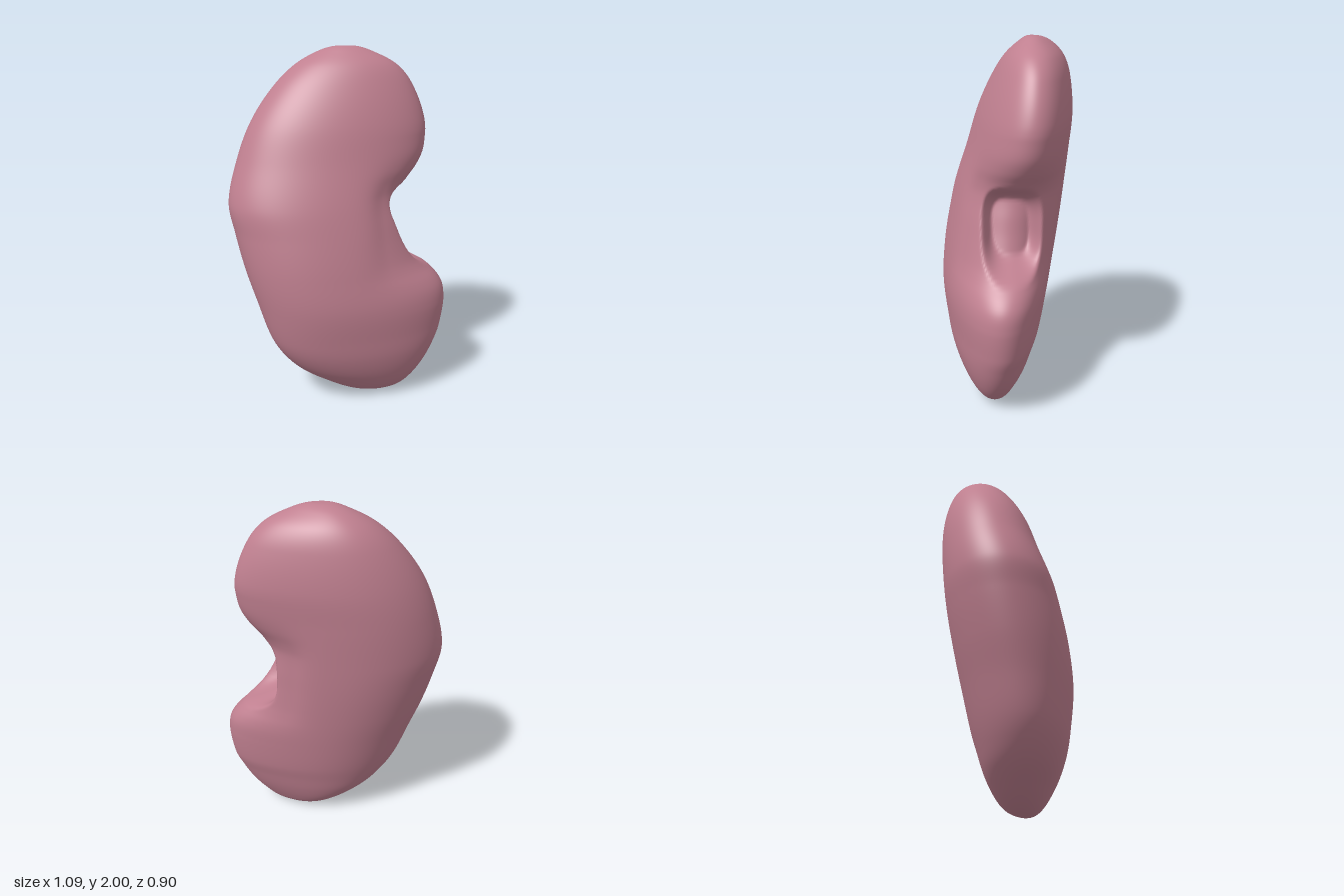
import * as THREE from 'three';

const { smoothstep } = THREE.MathUtils;

// Silhouette limits by height: y, xMin, xMax, zMin, zMax
const LIMITS = [
  [0, 0.12, 0.16, 0.16, 0.2],
  [0.025, 0.0, 0.28, 0.05, 0.29],
  [0.1, -0.14, 0.36, -0.05, 0.355],
  [0.2, -0.28, 0.43, -0.13, 0.4],
  [0.3, -0.365, 0.48, -0.18, 0.427],
  [0.4, -0.415, 0.52, -0.22, 0.44],
  [0.6, -0.465, 0.545, -0.285, 0.45],
  [0.8, -0.505, 0.535, -0.35, 0.415],
  [1.0, -0.53, 0.52, -0.405, 0.375],
  [1.17, -0.543, 0.51, -0.438, 0.335],
  [1.4, -0.47, 0.505, -0.443, 0.285],
  [1.6, -0.38, 0.515, -0.42, 0.25],
  [1.8, -0.23, 0.455, -0.36, 0.18],
  [1.9, -0.12, 0.38, -0.3, 0.12],
  [1.97, 0.0, 0.26, -0.21, 0.03],
  [2, 0.1, 0.15, -0.09, -0.06],
];

// Share of the inner half kept at each height, least at the notch
const WAIST = [
  [0.56, 1], [0.66, 0.985], [0.72, 0.94], [0.78, 0.86], [0.84, 0.8], [0.95, 0.75],
  [1.05, 0.725], [1.2, 0.7], [1.27, 0.76], [1.35, 0.89], [1.43, 0.975], [1.54, 1],
];

// Smooth interpolation through rows whose first entry is the parameter
function sample(rows, p, col) {
  const n = rows.length;
  if (p <= rows[0][0]) return rows[0][col];
  if (p >= rows[n - 1][0]) return rows[n - 1][col];
  let k = 0;
  while (p > rows[k + 1][0]) k++;
  const slope = (i) => {
    const a = rows[Math.max(i - 1, 0)], b = rows[Math.min(i + 1, n - 1)];
    return (b[col] - a[col]) / (b[0] - a[0]);
  };
  const h = rows[k + 1][0] - rows[k][0], t = (p - rows[k][0]) / h;
  const t2 = t * t, t3 = t2 * t;
  return (2 * t3 - 3 * t2 + 1) * rows[k][col] + (t3 - 2 * t2 + t) * h * slope(k)
    + (3 * t2 - 2 * t3) * rows[k + 1][col] + (t3 - t2) * h * slope(k + 1);
}

// Shapes a section point in the organ's own axes: u runs outer to inner edge, v through it
const C = Math.cos(Math.PI / 6), S = Math.sin(Math.PI / 6);
function sculpt(x, y, z, a) {
  let u = x * C + z * S, v = z * C - x * S;
  // flatter back near the inner edge, fuller front near the outer edge
  v += 0.04 * Math.sqrt(y * (2 - y)) * Math.max(0, Math.cos(a + 0.8)) ** 4;
  v += 0.04 * Math.exp(-(((y - 0.8) / 0.4) ** 2)) * Math.max(0, Math.cos(a - 2.4)) ** 4;
  // draw the waist in
  u *= 1 - (1 - sample(WAIST, y, 1)) * smoothstep(u, 0, 0.35);
  // press the pocket into the waist
  const r = (Math.abs((y - 1.02) / 0.255) ** 3 + Math.abs(v / 0.17) ** 3) ** (1 / 3);
  u -= 0.15 * (1 - smoothstep(r, 0.55, 1)) * smoothstep(u, 0.1, 0.3);
  return [u * C - v * S, y, u * S + v * C];
}

function bodyGeometry(rings = 180, sides = 180) {
  const rows = LIMITS.map(([y, ...rest]) => [Math.acos(1 - y), ...rest]);
  const pos = [], index = [];
  for (let i = 1; i < rings; i++) {
    const p = (i / rings) * Math.PI, y = 1 - Math.cos(p);
    const [x0, x1, z0, z1] = [1, 2, 3, 4].map((c) => sample(rows, p, c));
    for (let j = 0; j < sides; j++) {
      const a = (j / sides) * Math.PI * 2;
      // slanted oval, blunter on the outer edge
      const skew = 0.95 + 0.12 * (1 - Math.cos(a - 0.5));
      const x = (x0 + x1) / 2 + ((x1 - x0) / 2) * Math.cos(a);
      const z = (z0 + z1) / 2 + ((z1 - z0) / 2) * Math.cos(a - skew);
      pos.push(...sculpt(x, y, z, a));
    }
  }
  const id = (i, j) => i * sides + (j % sides);
  const bottom = (rings - 1) * sides, top = bottom + 1;
  pos.push(0.14, 0, 0.18, 0.125, 2, -0.075);
  for (let j = 0; j < sides; j++) {
    index.push(bottom, id(0, j), id(0, j + 1));
    for (let i = 0; i < rings - 2; i++) {
      const a = id(i, j), b = id(i, j + 1), c = id(i + 1, j), d = id(i + 1, j + 1);
      index.push(a, c, b, b, c, d);
    }
    index.push(top, id(rings - 2, j + 1), id(rings - 2, j));
  }
  const geo = new THREE.BufferGeometry();
  geo.setAttribute('position', new THREE.Float32BufferAttribute(pos, 3));
  geo.setIndex(index);
  geo.computeVertexNormals();
  return geo;
}

export function createModel() {
  const group = new THREE.Group();
  group.name = 'kidney';
  const body = new THREE.Mesh(bodyGeometry(), new THREE.MeshStandardMaterial({ color: 0xc08090 }));
  body.name = 'kidneyBody';
  group.add(body);
  return group;
}
